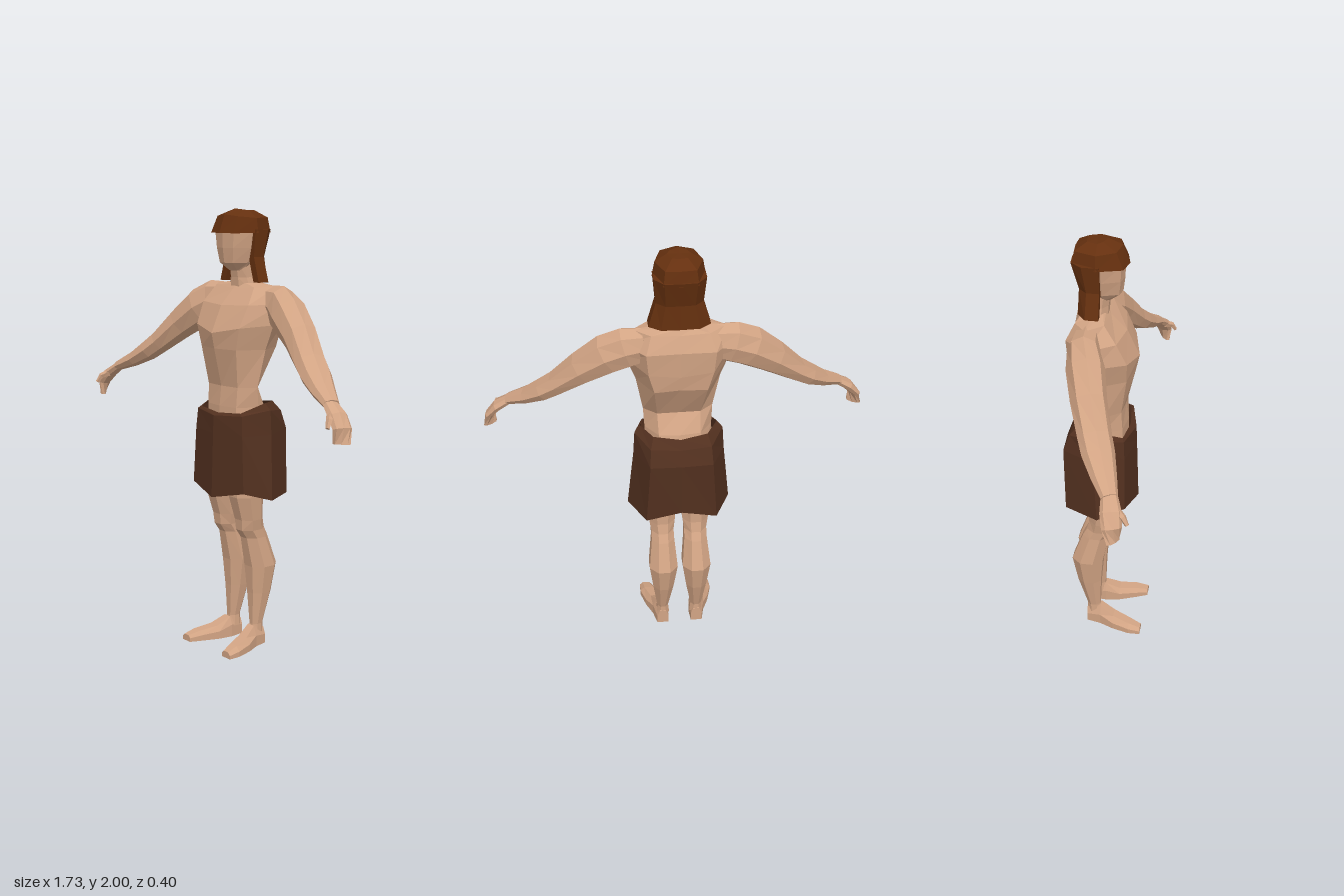
import * as THREE from 'three';

const mat = (color, side = THREE.FrontSide) =>
  new THREE.MeshStandardMaterial({ color, flatShading: true, side });
const SKIN = mat(0xd2a484);
const HAIR = mat(0x65300f);
const CLOTH = mat(0x52301f, THREE.DoubleSide);

// Skins a list of closed cross-sections; the winding is corrected by signed volume
function loft(name, rings, material, capped = true) {
  const tris = [];
  const n = rings[0].length;
  for (let r = 0; r < rings.length - 1; r++) {
    for (let i = 0; i < n; i++) {
      const j = (i + 1) % n;
      const [a, b, c, d] = [rings[r][i], rings[r][j], rings[r + 1][j], rings[r + 1][i]];
      tris.push([a, b, c], [a, c, d]);
    }
  }
  if (capped) {
    const cap = (ring, flip) => {
      const mid = [0, 1, 2].map(k => ring.reduce((s, p) => s + p[k], 0) / n);
      ring.forEach((p, i) => {
        const q = ring[(i + 1) % n];
        tris.push(flip ? [mid, q, p] : [mid, p, q]);
      });
    };
    cap(rings[0], true);
    cap(rings[rings.length - 1], false);
  }
  let volume = 0;
  for (const t of tris) {
    const [a, b, c] = t.map(p => new THREE.Vector3(...p));
    volume += a.dot(b.cross(c));
  }
  if (volume < 0) tris.forEach(t => t.reverse());
  const geo = new THREE.BufferGeometry();
  geo.setAttribute('position', new THREE.Float32BufferAttribute(tris.flat(2), 3));
  geo.computeVertexNormals();
  const mesh = new THREE.Mesh(geo, material);
  mesh.name = name;
  return mesh;
}

// Completes a half outline (front centre to back centre) with its mirror image
const mirrorRing = half =>
  [...half, ...half.slice(1, -1).reverse().map(([x, y, z]) => [-x, y, z])];

const flipX = (rings, s) => rings.map(r => r.map(([x, y, z]) => [x * s, y, z]));

// Level octagon with flat faces at its four extents
function levelRing([y, x0, x1, zf, zb]) {
  return Array.from({ length: 8 }, (_, i) => {
    const a = (i + 0.5) * Math.PI / 4, k = 1 / Math.cos(Math.PI / 8);
    return [(x0 + x1) / 2 + Math.cos(a) * k * (x1 - x0) / 2, y,
      (zf + zb) / 2 + Math.sin(a) * k * (zf - zb) / 2];
  });
}

// Rings square to a path; each station is x, y, z, half height, half depth
function pathRings(stations, sides = 8) {
  const pts = stations.map(s => new THREE.Vector3(s[0], s[1], s[2]));
  return stations.map((s, i) => {
    const dir = pts[Math.min(i + 1, pts.length - 1)].clone().sub(pts[Math.max(i - 1, 0)]).normalize();
    const depth = new THREE.Vector3().crossVectors(dir, new THREE.Vector3(0, 1, 0)).normalize();
    const up = new THREE.Vector3().crossVectors(depth, dir);
    return Array.from({ length: sides }, (_, k) => {
      const a = k / sides * Math.PI * 2;
      return pts[i].clone().addScaledVector(up, Math.cos(a) * s[3])
        .addScaledVector(depth, Math.sin(a) * s[4]).toArray();
    });
  });
}

function createTorso() {
  // y, half width, front, front corner, side, back corner, back, rise towards the sides
  const rows = [
    [0.82, 0.13, 0.05, 0.05, -0.02, -0.10, -0.10, 0],
    [1.00, 0.155, 0.08, 0.065, -0.02, -0.13, -0.13, 0],
    [1.13, 0.15, 0.08, 0.065, -0.02, -0.10, -0.11, 0],
    [1.22, 0.155, 0.07, 0.06, -0.01, -0.06, -0.06, 0],
    [1.39, 0.185, 0.11, 0.085, -0.03, -0.155, -0.145, 0],
    [1.46, 0.225, 0.125, 0.09, -0.04, -0.165, -0.155, 0.04],
    [1.58, 0.24, 0.07, 0.045, -0.07, -0.172, -0.16, 0.01],
    [1.65, 0.20, 0.0, -0.01, -0.08, -0.135, -0.13, 0.015],
    [1.675, 0.09, -0.02, -0.025, -0.07, -0.115, -0.115, 0],
  ];
  return loft('torso', rows.map(([y, w, f, fc, s, bc, b, rise]) => mirrorRing([
    [0, y, f], [w * 0.65, y + rise * 0.7, fc], [w, y + rise, s],
    [w * 0.62, y + rise * 0.6, bc], [0, y, b],
  ])), SKIN);
}

function createArm(s, side) {
  const arm = new THREE.Group();
  arm.name = side + 'Arm';
  const limb = [
    [0.15, 1.59, -0.08, 0.08, 0.06],
    [0.225, 1.58, -0.08, 0.095, 0.07],
    [0.30, 1.545, -0.06, 0.092, 0.082],
    [0.41, 1.465, -0.028, 0.075, 0.077],
    [0.52, 1.37, 0.015, 0.055, 0.072],
    [0.58, 1.325, 0.04, 0.05, 0.07],
    [0.66, 1.275, 0.075, 0.036, 0.055],
    [0.745, 1.235, 0.112, 0.023, 0.036],
  ];
  const hand = [
    [0.735, 1.238, 0.11, 0.02, 0.034],
    [0.795, 1.197, 0.125, 0.024, 0.045],
    [0.833, 1.15, 0.135, 0.02, 0.042],
    [0.838, 1.09, 0.142, 0.014, 0.036],
  ];
  const thumb = [
    [0.775, 1.20, 0.145, 0.018, 0.016],
    [0.80, 1.185, 0.175, 0.014, 0.014],
    [0.81, 1.155, 0.193, 0.009, 0.009],
  ];
  arm.add(
    loft('armLimb', flipX(pathRings(limb), s), SKIN),
    loft('hand', flipX(pathRings(hand), s), SKIN),
    loft('thumb', flipX(pathRings(thumb, 5), s), SKIN));
  return arm;
}

function createLeg(s, side) {
  const leg = new THREE.Group();
  leg.name = side + 'Leg';
  // y, inner x, outer x, front z, back z
  const limb = [
    [0.98, 0.0, 0.16, 0.07, -0.12],
    [0.72, 0.01, 0.148, 0.068, -0.088],
    [0.61, 0.018, 0.138, 0.035, -0.088],
    [0.56, 0.025, 0.13, 0.03, -0.10],
    [0.52, 0.024, 0.13, 0.002, -0.12],
    [0.38, 0.012, 0.145, -0.025, -0.17],
    [0.25, 0.03, 0.128, -0.035, -0.145],
    [0.10, 0.055, 0.108, -0.04, -0.10],
    [0.05, 0.05, 0.11, -0.035, -0.10],
  ];
  // z, centre x, half width, top y
  const foot = [
    [-0.102, 0.083, 0.027, 0.075],
    [-0.035, 0.088, 0.037, 0.095],
    [0.03, 0.108, 0.046, 0.06],
    [0.11, 0.135, 0.041, 0.045],
    [0.165, 0.146, 0.028, 0.03],
  ].map(([z, x, w, h]) => [
    [x - w, 0, z], [x + w, 0, z], [x + w, h * 0.55, z], [x + w * 0.5, h, z],
    [x - w * 0.6, h, z], [x - w, h * 0.6, z],
  ]);
  leg.add(
    loft('legLimb', flipX(limb.map(levelRing), s), SKIN),
    loft('foot', flipX(foot, s), SKIN));
  return leg;
}

function createHead() {
  const head = new THREE.Group();
  head.name = 'head';
  // y, half width, front, back
  const face = [
    [1.73, 0.042, 0.012, -0.06], [1.765, 0.068, 0.052, -0.09],
    [1.83, 0.085, 0.06, -0.11], [1.90, 0.097, 0.062, -0.12], [1.95, 0.085, 0.04, -0.12],
  ].map(([y, w, f, b]) => mirrorRing([
    [0, y, f], [w * 0.65, y, f - 0.012], [w, y, -0.03], [w * 0.6, y, b], [0, y, b],
  ]));
  // y, half width, front, back, drop of the sides
  const cap = [
    [1.895, 0.112, 0.08, -0.16, 0], [1.975, 0.10, 0.05, -0.15, 0.015],
    [2.0, 0.05, -0.01, -0.10, 0.008],
  ].map(([y, w, f, b, drop]) => mirrorRing([
    [0, y, f], [w * 0.7, y - drop * 0.5, f - 0.018], [w, y - drop, -0.05],
    [w * 0.65, y - drop, b + 0.005], [0, y - drop, b],
  ]));
  // Hanging hair follows a U round the neck: x and z factors of the outline
  const uPath = [[1, 0], [1, 0.6], [0.62, 1], [0, 1.03], [-0.62, 1], [-1, 0.6], [-1, 0]];
  const levels = [[1.91, 0.11, 0.125], [1.79, 0.10, 0.092], [1.68, 0.132, 0.095]];
  const locks = uPath.map(([u, v]) => {
    const at = inset => ([y, w, d]) => [u * (w - inset), y, -0.035 - v * (d - inset)];
    return [...levels.map(at(0)), ...levels.map(at(0.035)).reverse()];
  });
  const neck = [[1.65, -0.07, 0.07, -0.01, -0.10], [1.70, -0.055, 0.055, -0.008, -0.09],
    [1.78, -0.052, 0.052, 0.005, -0.09]].map(levelRing);
  head.add(loft('face', face, SKIN), loft('neck', neck, SKIN),
    loft('hairCap', cap, HAIR), loft('hangingHair', locks, HAIR));
  return head;
}

function createSkirt() {
  const rings = [
    [[0, 1.10, 0.088], [0.135, 1.11, 0.072], [0.172, 1.15, -0.04], [0.12, 1.145, -0.13], [0, 1.13, -0.145]],
    [[0, 1.09, 0.115], [0.155, 1.10, 0.08], [0.198, 1.12, -0.05], [0.135, 1.10, -0.168], [0, 1.09, -0.172]],
    [[0, 1.01, 0.118], [0.163, 1.01, 0.085], [0.205, 1.01, -0.05], [0.14, 1.02, -0.195], [0, 1.02, -0.20]],
    [[0, 0.715, 0.128], [0.178, 0.755, 0.09], [0.235, 0.718, -0.03], [0.16, 0.72, -0.185], [0, 0.76, -0.195]],
  ].map(mirrorRing);
  return loft('skirt', rings, CLOTH, false);
}

export function createModel() {
  const model = new THREE.Group();
  model.name = 'figure';
  model.add(createTorso(), createHead(), createSkirt());
  for (const [s, side] of [[1, 'left'], [-1, 'right']]) {
    model.add(createArm(s, side), createLeg(s, side));
  }
  return model;
}
